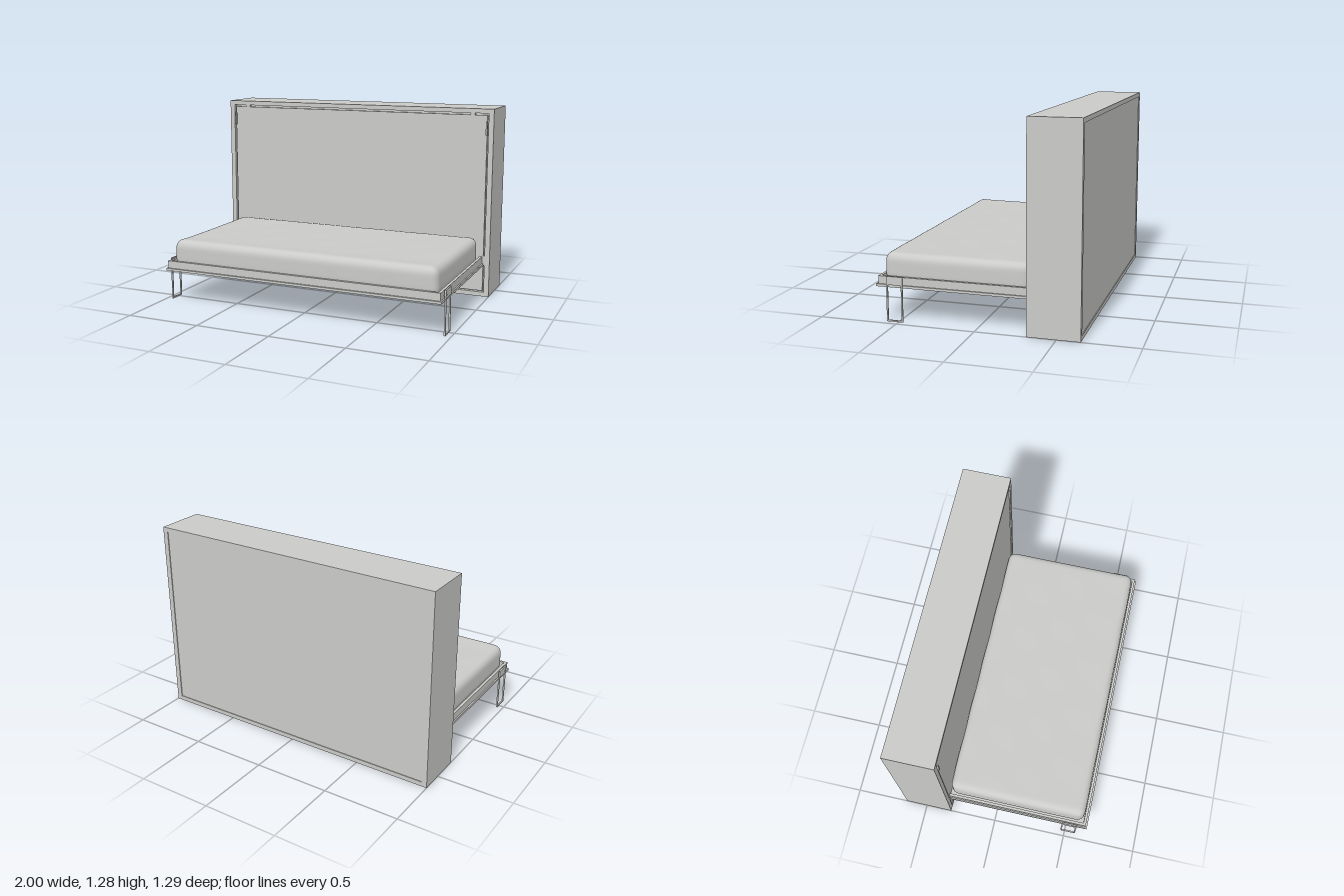
import * as THREE from 'three';
import { mergeVertices } from 'three/addons/utils/BufferGeometryUtils.js';

const paint = new THREE.MeshStandardMaterial({ color: 0xcacac8 });
paint.name = 'light grey';

function add(parent, name, geometry) {
  const mesh = new THREE.Mesh(geometry, paint);
  mesh.name = name;
  parent.add(mesh);
  return mesh;
}

// Box given by its limits on each axis
function box(parent, name, [x0, x1], [y0, y1], [z0, z1]) {
  const mesh = add(parent, name, new THREE.BoxGeometry(x1 - x0, y1 - y0, z1 - z0));
  mesh.position.set((x0 + x1) / 2, (y0 + y1) / 2, (z0 + z1) / 2);
  return mesh;
}

// The same box on both sides
function pair(parent, name, [x0, x1], y, z) {
  box(parent, name + 'Left', [x0, x1], y, z);
  box(parent, name + 'Right', [-x1, -x0], y, z);
}

// Soft mattress: a dense box with rounded edges and slight unevenness
function mattressGeometry() {
  const half = new THREE.Vector3(0.915, 0.09, 0.465), r = 0.05;
  let g = new THREE.BoxGeometry(2, 2, 2, 64, 16, 48);
  g.deleteAttribute('normal');
  g.deleteAttribute('uv');
  g = mergeVertices(g);
  const inner = half.clone().subScalar(r);
  const pos = g.attributes.position, p = new THREE.Vector3(), c = new THREE.Vector3();
  const spread = (t) => Math.sin(t * Math.PI / 2); // crowd vertices at the edges
  for (let i = 0; i < pos.count; i++) {
    p.fromBufferAttribute(pos, i);
    p.set(spread(p.x), spread(p.y), spread(p.z)).multiply(half);
    c.copy(p).clamp(inner.clone().negate(), inner);
    p.sub(c).setLength(r).add(c);
    const up = (p.y + half.y) / (2 * half.y);
    const crown = 0.005 * Math.exp(-(((p.z - 0.42) / 0.07) ** 2));
    const ripple = 0.002 * Math.sin(p.x * 17 + p.z * 5) * Math.sin(p.z * 13 + 1);
    p.x *= 1 + 0.006 * (1 - up);
    p.z += ripple * 0.8;
    p.y += up * (crown + ripple * 0.5);
    pos.setXYZ(i, p.x, p.y, p.z);
  }
  g.computeVertexNormals();
  return g;
}

// Fold-out leg: pivot plate over an open rectangular loop
function legGeometry() {
  const s = new THREE.Shape();
  s.moveTo(0.47, 0).lineTo(0.575, 0).lineTo(0.575, 0.285).lineTo(0.47, 0.285).closePath();
  const hole = new THREE.Path();
  hole.moveTo(0.479, 0.009).lineTo(0.479, 0.232).lineTo(0.566, 0.232).lineTo(0.566, 0.009).closePath();
  s.holes.push(hole);
  const g = new THREE.ExtrudeGeometry(s, { depth: 0.01, bevelEnabled: false });
  g.rotateY(-Math.PI / 2); // shape x becomes z
  return g.translate(0.005, 0, 0);
}

export function createModel() {
  const model = new THREE.Group();
  model.name = 'foldingWallBed';

  // Cabinet
  const cabinet = new THREE.Group();
  cabinet.name = 'cabinet';
  model.add(cabinet);
  const depth = [-0.645, -0.32];
  pair(cabinet, 'cabinetSide', [0.965, 1], [0, 1.285], depth);
  box(cabinet, 'cabinetTop', [-0.965, 0.965], [1.255, 1.285], depth);
  box(cabinet, 'cabinetBottom', [-0.965, 0.965], [0, 0.03], depth);
  box(cabinet, 'backPanel', [-0.965, 0.965], [0.03, 1.255], [-0.64, -0.625]);
  box(cabinet, 'frontPanel', [-0.955, 0.955], [0.038, 1.242], [-0.345, -0.325]);
  box(cabinet, 'grooveBacking', [-0.965, 0.965], [0.03, 1.255], [-0.36, -0.35]);

  // Bridges in the slot along the top, and small pulls
  pair(cabinet, 'slotBridge', [0.84, 0.87], [1.242, 1.255], [-0.35, -0.325]);
  pair(cabinet, 'pull', [0.948, 0.958], [1.11, 1.2], [-0.33, -0.313]);

  // Fold-down bed
  const bed = new THREE.Group();
  bed.name = 'bed';
  model.add(bed);
  box(bed, 'bedPanel', [-0.957, 0.957], [0.215, 0.231], [-0.325, 0.645]);
  pair(bed, 'sideRail', [0.93, 0.948], [0.231, 0.28], [-0.325, 0.633]);
  box(bed, 'footRail', [-0.93, 0.93], [0.231, 0.28], [0.615, 0.633]);
  pair(bed, 'hingeBlock', [0.948, 0.965], [0.22, 0.285], [-0.345, -0.321]);

  const mattress = add(bed, 'mattress', mattressGeometry());
  mattress.position.set(0, 0.325, 0.145);

  // Legs with their pivots
  for (const [side, label] of [[1, 'Left'], [-1, 'Right']]) {
    const leg = add(bed, 'leg' + label, legGeometry());
    leg.position.x = side * 0.96;
    const pivot = add(bed, 'legPivot' + label, new THREE.CylinderGeometry(0.008, 0.008, 0.02, 16));
    pivot.rotation.z = Math.PI / 2;
    pivot.position.set(side * 0.957, 0.247, 0.556);
  }
  return model;
}
